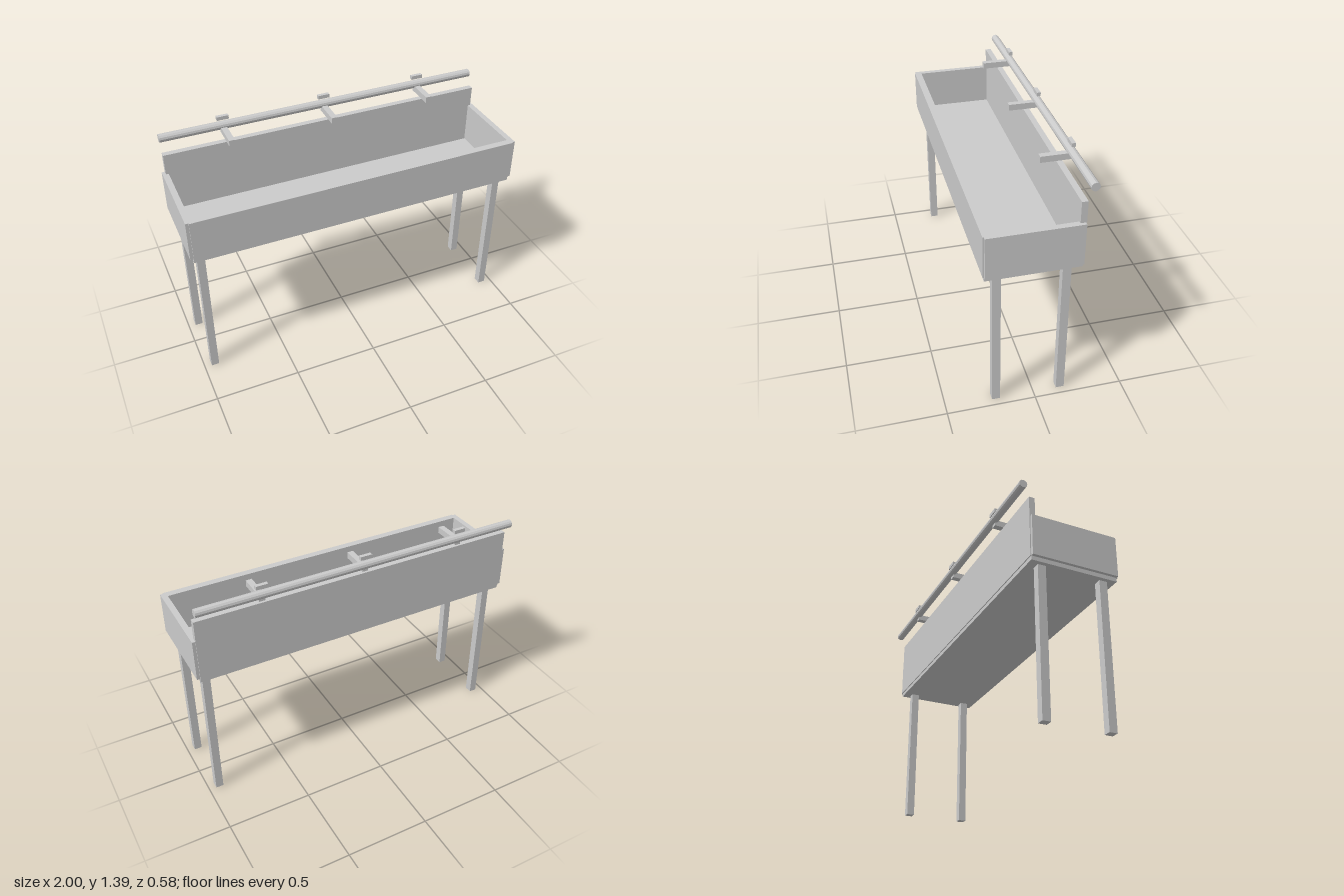
import * as THREE from 'three';

export function createModel() {
  const model = new THREE.Group();
  const material = new THREE.MeshStandardMaterial({ color: 0xcccccc, flatShading: true });

  // Adds a box given its extents along each axis
  function addBox(name, [x0, x1], [y0, y1], [z0, z1]) {
    const mesh = new THREE.Mesh(new THREE.BoxGeometry(x1 - x0, y1 - y0, z1 - z0), material);
    mesh.position.set((x0 + x1) / 2, (y0 + y1) / 2, (z0 + z1) / 2);
    mesh.name = name;
    model.add(mesh);
  }

  // Open trough: floor, front panel and taller back panel
  addBox('floorPanel', [-0.982, 0.982], [0.863, 0.887], [-0.23, 0.286]);
  addBox('frontPanel', [-0.982, 0.982], [0.887, 1.132], [0.25, 0.292]);
  addBox('backPanel', [-0.982, 0.982], [0.887, 1.255], [-0.235, -0.201]);

  // End panels and legs, mirrored left and right
  for (const side of [-1, 1]) {
    const label = side > 0 ? 'left' : 'right';
    const span = (a, b) => (side > 0 ? [a, b] : [-b, -a]);
    addBox(label + 'EndPanel', span(0.966, 1), [0.887, 1.132], [-0.23, 0.285]);
    addBox(label + 'FrontLeg', span(0.913, 0.958), [0, 0.863], [0.192, 0.239]);
    addBox(label + 'BackLeg', span(0.913, 0.958), [0, 0.863], [-0.18, -0.133]);
  }

  // Horizontal rail above the back panel
  const rail = new THREE.Mesh(new THREE.CylinderGeometry(0.024, 0.024, 1.964, 12), material);
  rail.rotation.z = Math.PI / 2;
  rail.position.set(0, 1.33, -0.267);
  rail.name = 'rail';
  model.add(rail);

  // Rail arms with small blocks floating above the rail
  for (const x of [-0.613, 0, 0.613]) {
    addBox('railArm', [x - 0.0175, x + 0.0175], [1.288, 1.324], [-0.267, -0.096]);
    addBox('railBlock', [x - 0.035, x + 0.035], [1.368, 1.39], [-0.278, -0.256]);
  }

  return model;
}
